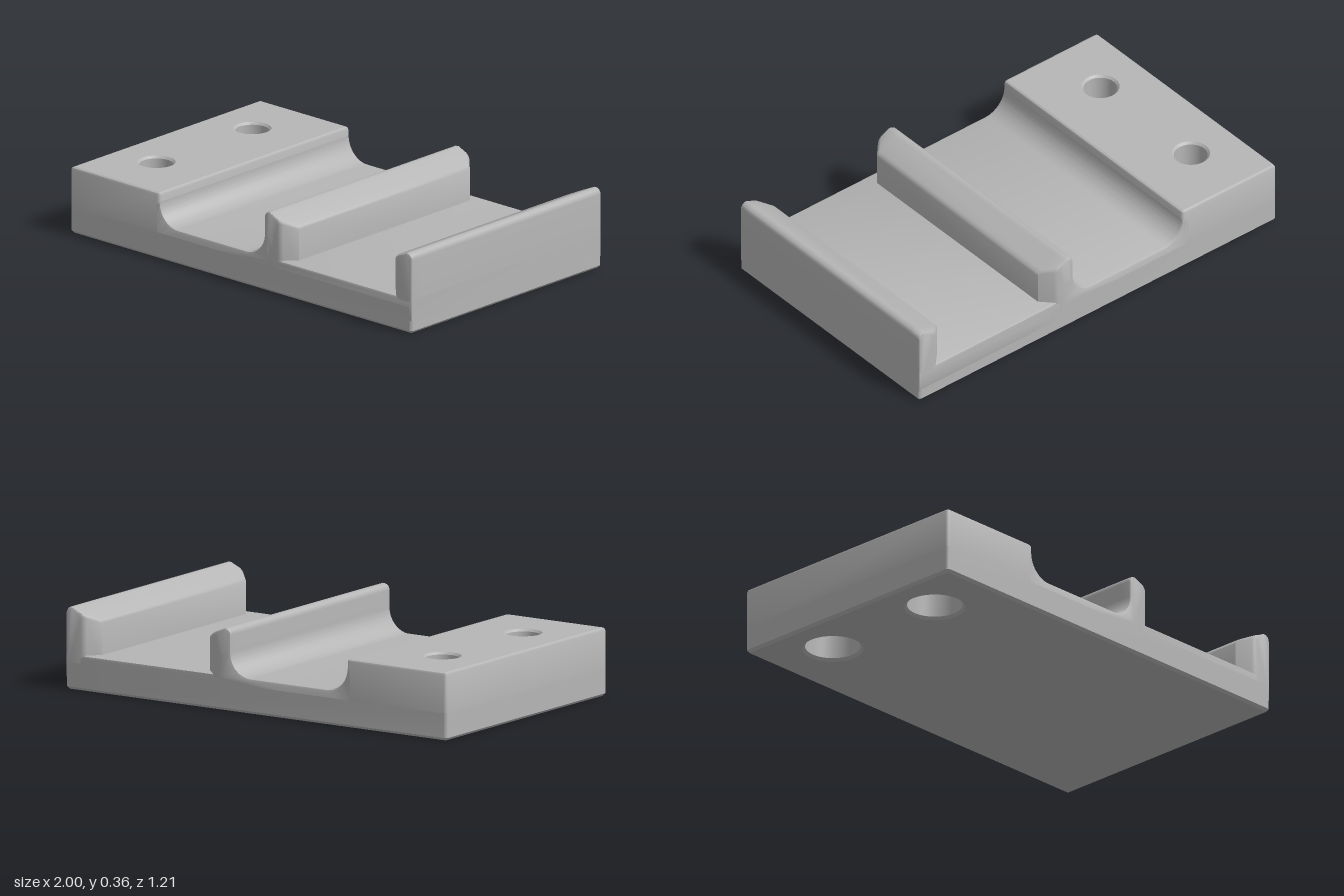
import * as THREE from 'three';
import { toCreasedNormals } from 'three/addons/utils/BufferGeometryUtils.js';

const HALF_Z = 0.605, BEVEL = 0.012, FLOOR = 0.155, BLOCK_X = -0.475, BLOCK_Y = 0.3;
const HOLE_X = -0.77, HOLE_Z = [-0.305, 0.305];

// Skin a list of equally long closed rings; optional fan caps on both ends
function loft(rings, capped = false) {
  const pos = [];
  const tri = (...pts) => pts.forEach(p => pos.push(...p));
  for (let i = 0; i < rings.length - 1; i++) {
    const lo = rings[i], hi = rings[i + 1], n = lo.length;
    for (let j = 0; j < n; j++) {
      const k = (j + 1) % n;
      tri(lo[j], lo[k], hi[k]);
      tri(lo[j], hi[k], hi[j]);
    }
  }
  if (capped) {
    const first = rings[0], last = rings[rings.length - 1];
    for (let j = 1; j < first.length - 1; j++) {
      tri(first[0], first[j + 1], first[j]);
      tri(last[0], last[j], last[j + 1]);
    }
  }
  const g = new THREE.BufferGeometry();
  g.setAttribute('position', new THREE.Float32BufferAttribute(pos, 3));
  return toCreasedNormals(g, 0.6);
}

// Rounded rectangle in plan, counter-clockwise from above
function planRing(x0, x1, inset, y) {
  const r = 0.015, ring = [];
  const corners = [[x1, -HALF_Z], [x0, -HALF_Z], [x0, HALF_Z], [x1, HALF_Z]];
  corners.forEach(([x, z], q) => {
    const cx = x - Math.sign(x - (x0 + x1) / 2) * r, cz = z - Math.sign(z) * r;
    for (let s = 0; s <= 4; s++) {
      const a = (q + s / 4) * Math.PI / 2, rr = r - inset;
      ring.push([cx + rr * Math.cos(a), y, cz - rr * Math.sin(a)]);
    }
  });
  return ring;
}

function circleRing(z, r, y) {
  return Array.from({ length: 48 }, (_, i) => {
    const a = i / 48 * Math.PI * 2;
    return [HOLE_X + r * Math.cos(a), y, z - r * Math.sin(a)];
  });
}

// Flat cap with both screw holes cut out
function holedCap(ring, holeRadius, up) {
  const flat = pts => pts.map(([x, , z]) => new THREE.Vector2(x, up ? -z : z));
  const shape = new THREE.Shape(flat(ring));
  HOLE_Z.forEach(z => shape.holes.push(new THREE.Path(flat(circleRing(z, holeRadius, 0)))));
  return new THREE.ShapeGeometry(shape).rotateX(up ? -Math.PI / 2 : Math.PI / 2).translate(0, ring[0][1], 0);
}

// Lip cross-section: upright outer side, rounded tip, top sloping down to the inner edge
function lipRing(innerX, inset, z) {
  const x0 = 0.135 + inset, e = innerX - inset;
  const slope = x => 0.362 - inset - (x - 0.168) * 0.43;
  return [
    [x0, 0.1], [e, 0.1], [e, slope(e) - 0.014], [e - 0.005, slope(e) - 0.004], [e - 0.016, slope(e - 0.016)],
    [0.18, slope(0.18)], [0.168, 0.363 - inset], [0.156, 0.362 - inset],
    [x0 + 0.007, 0.355 - inset], [x0 + 0.001, 0.345 - inset], [x0, 0.334 - inset],
  ].map(([x, y]) => [x, y, z]);
}

export function createModel() {
  const group = new THREE.Group();
  const gray = new THREE.MeshStandardMaterial({ color: 0xb6b6b6 });
  gray.name = 'matte gray';
  const add = (name, geometry) => {
    const mesh = new THREE.Mesh(geometry, gray);
    mesh.name = name;
    group.add(mesh);
    return mesh;
  };

  // Base plate with chamfered underside
  const bottom = planRing(-1, 1, BEVEL, 0);
  add('baseSides', loft([bottom, planRing(-1, 1, 0, BEVEL), planRing(-1, 1, 0, 0.12)]));
  add('baseUnderside', holedCap(bottom, 0.132, false));

  // Raised mounting block
  const top = planRing(-1, BLOCK_X, BEVEL, BLOCK_Y);
  add('mountingBlockSides', loft([
    planRing(-1, BLOCK_X, 0, 0.1), planRing(-1, BLOCK_X, 0, BLOCK_Y - BEVEL),
    planRing(-1, BLOCK_X, 0.004, BLOCK_Y - 0.004), top,
  ]));
  add('mountingBlockTop', holedCap(top, 0.083, true));

  // Screw holes, counterbored from below
  HOLE_Z.forEach((z, i) => add(i ? 'frontScrewHole' : 'backScrewHole', loft([
    [0.083, BLOCK_Y], [0.073, BLOCK_Y - 0.01], [0.073, 0.12], [0.12, 0.12], [0.12, 0.012], [0.132, 0],
  ].map(([r, y]) => circleRing(z, r, y)))));

  // Channel floors with the two concave fillets of the wide channel
  const r = 0.105, cy = FLOOR + r;
  const profile = new THREE.Shape();
  profile.moveTo(-0.55, 0.05);
  profile.lineTo(1, 0.05);
  profile.lineTo(1, FLOOR);
  profile.lineTo(0.2, FLOOR);
  profile.lineTo(0.2, cy);
  profile.lineTo(0.135, cy);
  profile.absarc(0.135 - r, cy, r, 0, -Math.PI / 2, true);
  profile.absarc(BLOCK_X + r, cy, r, -Math.PI / 2, -Math.PI, true);
  profile.lineTo(-0.55, cy);
  const depth = 2 * (HALF_Z - BEVEL);
  const floor = new THREE.ExtrudeGeometry(profile, {
    depth, curveSegments: 14, bevelThickness: BEVEL, bevelSize: BEVEL, bevelOffset: -BEVEL, bevelSegments: 2,
  }).translate(0, 0, -depth / 2);
  add('channelFloor', toCreasedNormals(floor, 0.6));

  // Facing clamp lips, inner corners cut at both ends
  const full = 0.285, cut = 0.225, zc = HALF_Z - 0.062;
  const half = [[cut, BEVEL, HALF_Z], [cut + 0.006, 0.003, HALF_Z - 0.004], [cut + BEVEL, 0, HALF_Z - BEVEL], [full, 0, zc]];
  const stations = [...half.map(([x, i, z]) => [x, i, -z]), ...half.slice().reverse()];
  const lip = loft(stations.map(s => lipRing(...s)), true);
  add('middleLip', lip);
  const outer = add('outerLip', lip);
  outer.rotation.y = Math.PI;
  outer.position.x = 1.135;

  return group;
}
